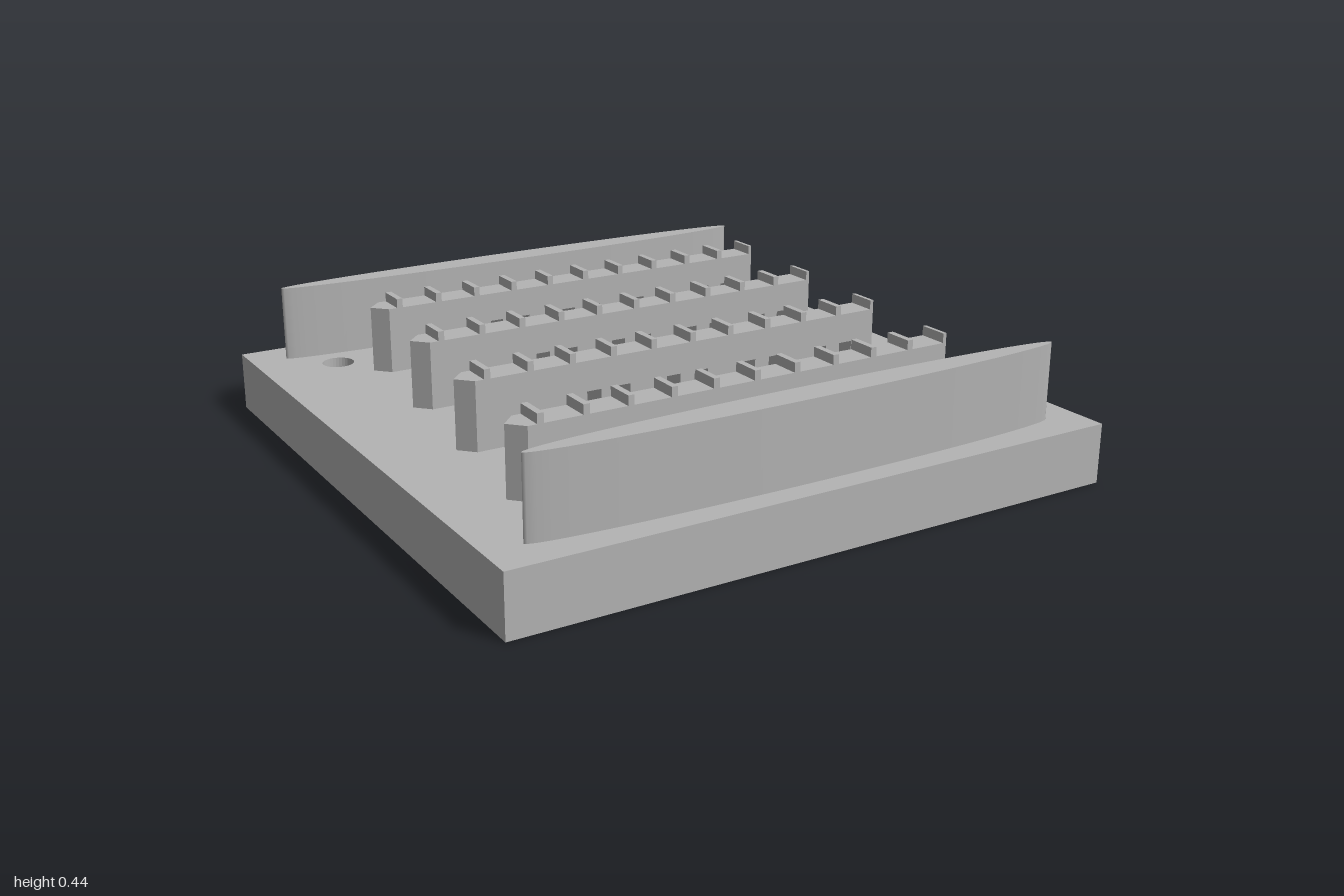
import * as THREE from 'three';

const BASE_TOP = 0.19, TOP = 0.435, BODY_TOP = 0.405;
const BAR_DEPTH = 0.095, BAR_LENGTH = 1.47, TIP = 0.045, PITCH = 0.1385;

// Extrude a plan outline (x, z) upwards from y0 to y1
function extrudePlan(shape, y0, y1) {
  const g = new THREE.ExtrudeGeometry(shape, { depth: y1 - y0, bevelEnabled: false, curveSegments: 16 });
  g.rotateX(-Math.PI / 2);
  g.translate(0, y0, 0);
  return g;
}

// Side outline of a bar: ridges along the top, pairs of slots along the foot
function barProfile() {
  const p = [[TIP, BASE_TOP]];
  for (const c of [0.48, 0.757, 1.034, 1.311]) {
    for (const s of [c - 0.05, c + 0.05]) {
      p.push([s - 0.024, BASE_TOP], [s - 0.024, 0.31], [s + 0.024, 0.31], [s + 0.024, BASE_TOP]);
    }
  }
  p.push([BAR_LENGTH, BASE_TOP]);
  for (let i = 10; i >= 0; i--) {
    const a = 0.073 + i * PITCH, b = Math.min(a + 0.02, BAR_LENGTH);
    if (i < 10) p.push([b, BODY_TOP]);
    p.push([b, TOP], [a, TOP], [a, BODY_TOP]);
  }
  p.push([TIP, BODY_TOP]);
  return new THREE.Shape(p.map(([x, y]) => new THREE.Vector2(x, y)));
}

export function createModel() {
  const root = new THREE.Group();
  root.name = 'ribbedPlate';
  const grey = new THREE.MeshStandardMaterial({ color: 0xb4b4b4 });
  grey.name = 'grey';

  const add = (name, geometry, parent = root) => {
    const mesh = new THREE.Mesh(geometry, grey);
    mesh.name = name;
    parent.add(mesh);
    return mesh;
  };

  // Square base with four through holes
  const square = new THREE.Shape([[-1, -1], [1, -1], [1, 1], [-1, 1]].map(([x, y]) => new THREE.Vector2(x, y)));
  for (const x of [-0.75, 0.75]) {
    for (const z of [-0.75, 0.75]) {
      square.holes.push(new THREE.Path().absarc(x, z, 0.052, 0, Math.PI * 2, true));
    }
  }
  add('base', extrudePlan(square, 0, BASE_TOP));

  // Thin elliptical walls at front and back
  for (const side of [1, -1]) {
    const g = new THREE.CylinderGeometry(1, 1, TOP - BASE_TOP, 48);
    g.scale(0.885, 1, 0.048);
    const wall = add(side > 0 ? 'frontWall' : 'backWall', g);
    wall.position.set(0, (TOP + BASE_TOP) / 2, side * 0.88);
  }

  // Staggered bars, each pointed at its right end
  const body = new THREE.ExtrudeGeometry(barProfile(), { depth: BAR_DEPTH, bevelEnabled: false });
  body.translate(0, 0, -BAR_DEPTH / 2);
  const h = BAR_DEPTH / 2;
  const wedge = new THREE.Shape([[0, 0], [TIP, -h], [TIP, h]].map(([x, y]) => new THREE.Vector2(x, y)));
  const point = extrudePlan(wedge, BASE_TOP, BODY_TOP);
  [[-0.68, -0.607], [-0.715, -0.203], [-0.755, 0.2], [-0.795, 0.603]].forEach(([x, z], i) => {
    const bar = new THREE.Group();
    bar.name = `bar${i + 1}`;
    bar.position.set(x, 0, z);
    add('barBody', body, bar);
    add('barPoint', point, bar);
    root.add(bar);
  });

  return root;
}
